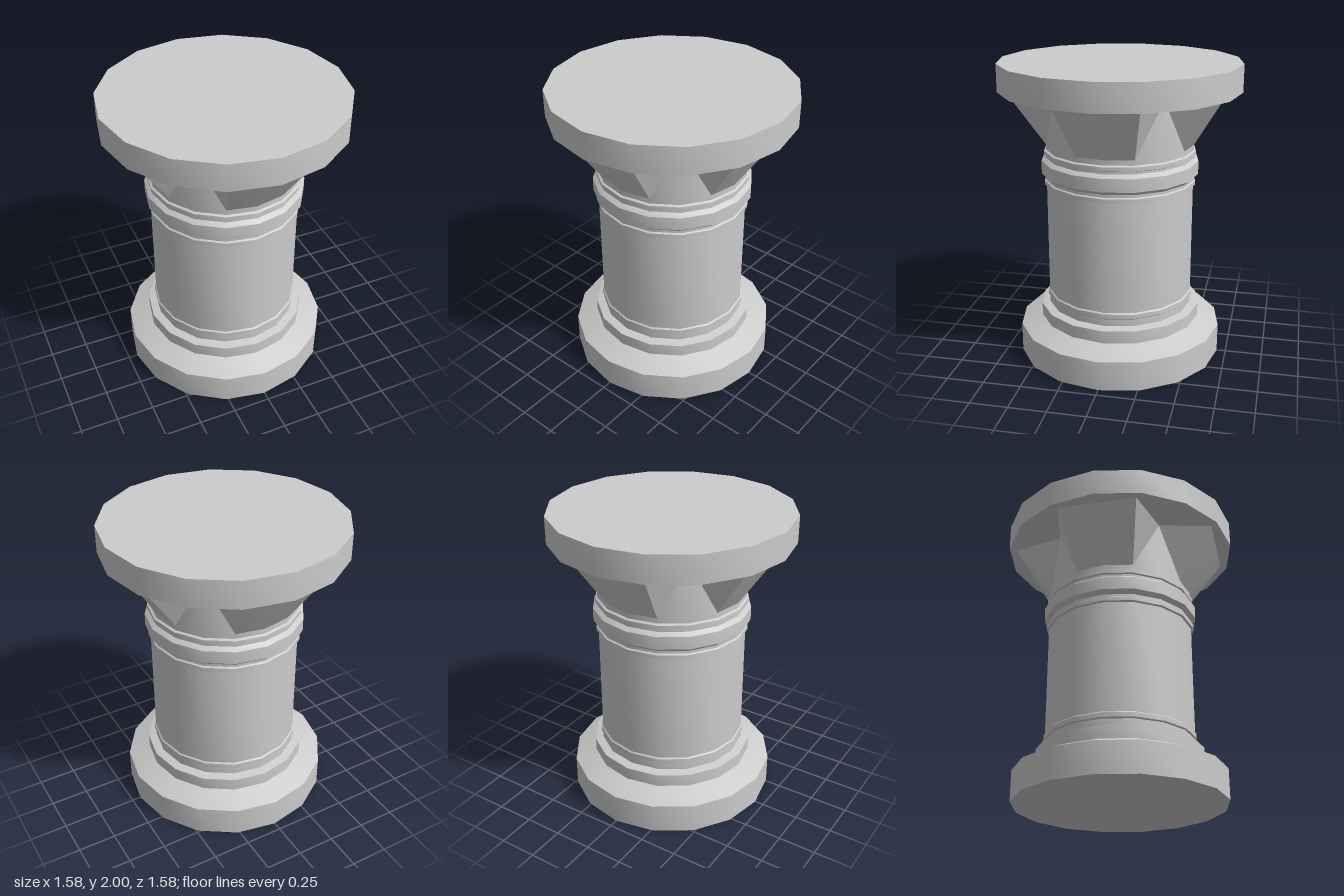
import * as THREE from 'three';
import { toCreasedNormals } from 'three/addons/utils/BufferGeometryUtils.js';

const SIDES = 16;
const CREASE = 0.6;

export function createModel() {
  const group = new THREE.Group();
  const material = new THREE.MeshStandardMaterial({ color: 0xcccccc });

  const add = (name, geometry) => {
    const mesh = new THREE.Mesh(toCreasedNormals(geometry, CREASE), material);
    mesh.name = name;
    group.add(mesh);
  };
  // Turned part from [radius, height] pairs, listed bottom to top
  const turned = (name, profile) =>
    add(name, new THREE.LatheGeometry(profile.map(([r, y]) => new THREE.Vector2(r, y)), SIDES));

  // Stepped foot with sloping shoulder
  turned('base', [
    [0, 0], [0.69, 0], [0.69, 0.2], [0.545, 0.26], [0.545, 0.345], [0.49, 0.357],
  ]);

  // Shaft with a lower ring, and the collar band between two thin rings
  turned('shaft', [
    [0.49, 0.357], [0.49, 0.405], [0.499, 0.412], [0.499, 0.442], [0.49, 0.45],
    [0.49, 1.195],
  ]);
  turned('collar', [
    [0.49, 1.195], [0.504, 1.2], [0.504, 1.225], [0.494, 1.232], [0.494, 1.25],
    [0.522, 1.274], [0.522, 1.36], [0.494, 1.382], [0.494, 1.397],
    [0.504, 1.402], [0.504, 1.428], [0.49, 1.436],
  ]);
  turned('neck', [[0.49, 1.436], [0.49, 1.82]]);

  // Four flaring brackets, each narrowing from the slab down to the neck
  const bottom = 1.47, top = 1.82, r = 0.49;
  const px = r * Math.sin(Math.PI / 8), pz = r * Math.cos(Math.PI / 8);
  const d = r * Math.SQRT1_2;
  const points = [
    [0, bottom, r],                         // 0 middle foot
    [px, bottom, pz], [-px, bottom, pz],    // 1, 2 side feet
    [0.262, top, 0.69], [-0.262, top, 0.69], // 3, 4 outer top corners
    [d, top, d], [-d, top, d],              // 5, 6 corners on the neck
  ];
  const faces = [0, 1, 3, 0, 3, 4, 0, 4, 2, 1, 5, 3, 2, 4, 6];
  for (let i = 0; i < 4; i++) {
    const bracket = new THREE.BufferGeometry();
    bracket.setAttribute('position', new THREE.Float32BufferAttribute(points.flat(), 3));
    bracket.setIndex(faces);
    bracket.rotateY((i * Math.PI) / 2);
    add('bracket' + (i + 1), bracket);
  }

  // Top slab
  turned('topSlab', [[0, 1.82], [0.79, 1.82], [0.79, 2], [0, 2]]);

  return group;
}
